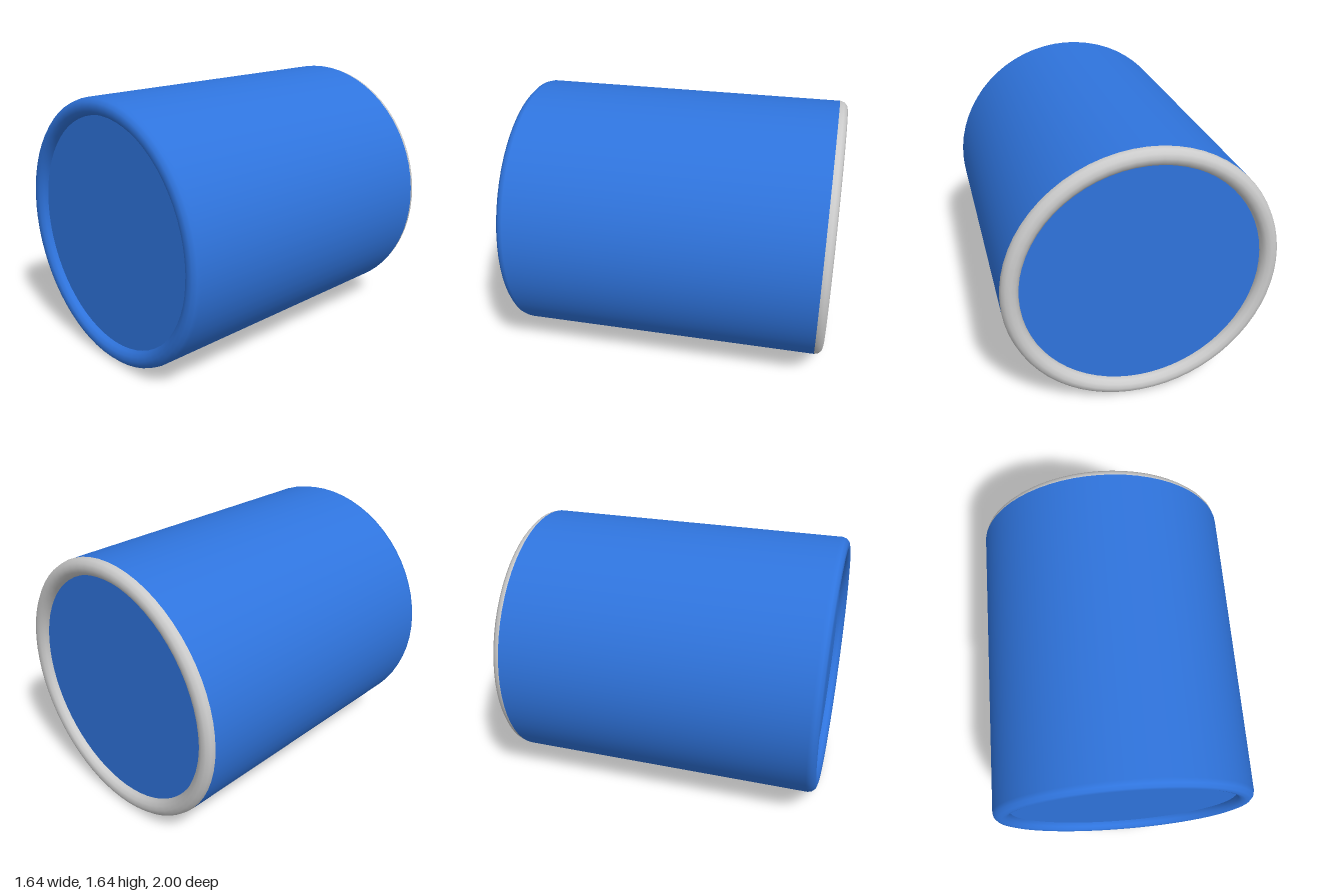
import * as THREE from 'three';

const RADIUS = 0.82, TUBE = 0.053, HALF = 1 - TUBE;

export function createModel() {
  const model = new THREE.Group();
  const blue = new THREE.MeshStandardMaterial({ color: 0x2f74dd });
  const grey = new THREE.MeshStandardMaterial({ color: 0xcccccc });

  const add = (name, geometry, material, z) => {
    const mesh = new THREE.Mesh(geometry, material);
    mesh.name = name;
    mesh.position.set(0, RADIUS, z);
    model.add(mesh);
  };

  // Drum lying along z, with flat ends
  const drum = new THREE.CylinderGeometry(RADIUS, RADIUS, 2 * HALF, 64).rotateX(Math.PI / 2);
  add('body', drum, blue, 0);

  // Rounded rims, half sunk into each end
  const rim = new THREE.TorusGeometry(RADIUS - TUBE, TUBE, 12, 64);
  add('frontRim', rim, blue, HALF);
  add('backRim', rim, grey, -HALF);

  return model;
}
